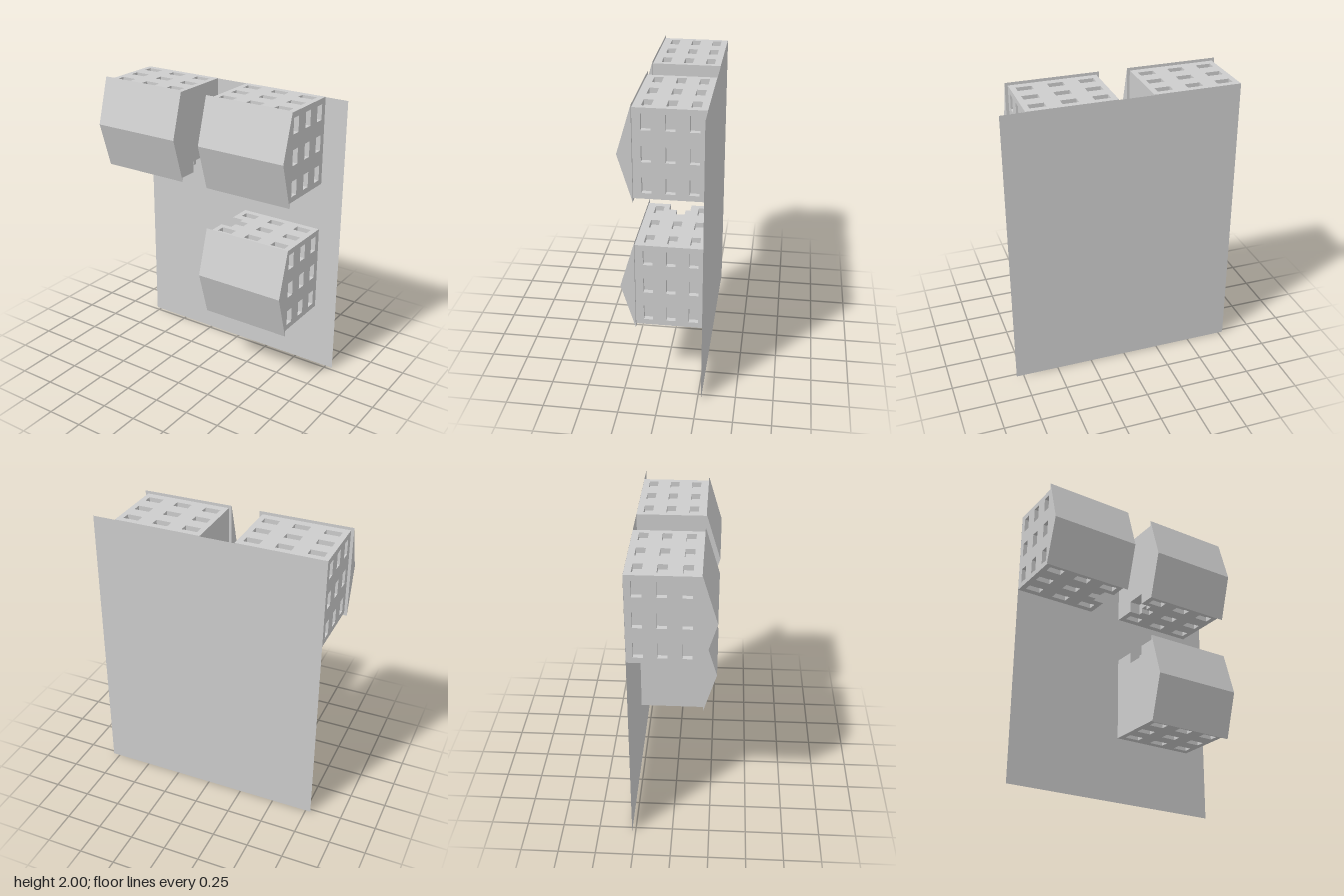
import * as THREE from 'three';

const H = 0.2975;            // half width of a house body
const Z0 = -0.273, Z1 = 0.18; // base and eaves
const D = 0.035;             // window recess depth
const WZ = [-0.2, -0.053, 0.097]; // window rows
const WU = [-0.207, 0, 0.207];    // window columns
const NZ = [-0.115, 0.03], NX = 0.08; // corner notch span and size

const grey = new THREE.MeshStandardMaterial({ color: 0xcccccc });
grey.name = 'plain grey';
const greySheet = new THREE.MeshStandardMaterial({ color: 0xcccccc, side: THREE.DoubleSide });
greySheet.name = 'plain grey sheet';

function add(group, name, geometry, material = grey) {
  const mesh = new THREE.Mesh(geometry, material);
  mesh.name = name;
  group.add(mesh);
  return mesh;
}

function block(group, name, x0, x1, y0, y1, z0, z1) {
  const g = new THREE.BoxGeometry(Math.abs(x1 - x0), Math.abs(y1 - y0), Math.abs(z1 - z0));
  g.translate((x0 + x1) / 2, (y0 + y1) / 2, (z0 + z1) / 2);
  return add(group, name, g);
}

const points = (list) => list.map(([a, b]) => new THREE.Vector2(a, b));
const rect = (u, v, w, h) => points([
  [u - w / 2, v - h / 2], [u + w / 2, v - h / 2], [u + w / 2, v + h / 2], [u - w / 2, v + h / 2]]);

function panel(outline, holes, depth = D) {
  const shape = new THREE.Shape(outline);
  shape.holes = holes.map((h) => new THREE.Path(h));
  return new THREE.ExtrudeGeometry(shape, { depth, bevelEnabled: false });
}

// sx, sy = 1 or -1 mirror the notched corner, which is at -x, -y by default
function house(sx, sy) {
  const g = new THREE.Group();
  g.name = 'house';
  const e = H - D;

  // solid core behind the window panels, with one notched edge
  const box = (x0, x1, y0, y1, z0, z1) =>
    block(g, 'core', x0 * sx, x1 * sx, y0 * sy, y1 * sy, z0, z1);
  box(-H + NX, e, -e, e, Z0, Z1);
  box(-H, -H + NX, -H + NX, e, Z0, Z1);
  box(-H, -H + NX, -e, -H + NX, Z0, NZ[0]);
  box(-H, -H + NX, -e, -H + NX, NZ[1], Z1);

  // windowed wall opposite the notched edge
  const wide = [], notchedHoles = [];
  for (const u of WU) for (const z of WZ) {
    wide.push(rect(u, z, 0.105, 0.06));
    if (u !== WU[0] || z !== WZ[1]) notchedHoles.push(rect(u * sx, z, 0.105, 0.06));
  }
  const plain = panel(points([[-H, Z0], [H, Z0], [H, Z1], [-H, Z1]]), wide);
  plain.rotateX(Math.PI / 2);
  plain.translate(0, sy > 0 ? H : -e, 0);
  add(g, 'windowWall', plain);

  // windowed wall whose corner window opens into the notch
  const n = -H + NX, w = WU[0] + 0.0525, a = WZ[1] - 0.03, b = WZ[1] + 0.03;
  const notched = panel(points([
    [-H, Z0], [H, Z0], [H, Z1], [-H, Z1], [-H, NZ[1]], [n, NZ[1]], [n, b],
    [w, b], [w, a], [n, a], [n, NZ[0]], [-H, NZ[0]]].map(([x, z]) => [x * sx, z])), notchedHoles);
  notched.rotateX(Math.PI / 2);
  notched.translate(0, sy > 0 ? -e : H, 0);
  add(g, 'notchedWindowWall', notched);

  // outer end wall with upright windows
  const tall = [];
  for (const v of WU) for (const z of WZ) tall.push(rect(-z, v, 0.062, 0.105));
  const end = panel(points([[-Z1, -H], [-Z0, -H], [-Z0, H], [-Z1, H]]), tall);
  end.rotateY(Math.PI / 2);
  end.translate(sx > 0 ? e : -H, 0, 0);
  add(g, 'endWall', end);

  // gable roof with a slight overhang
  const R = 0.317;
  const roof = panel(points([[-Z1, -R], [-Z1, R], [-0.275, 0]]), [], 2 * R);
  roof.rotateY(Math.PI / 2);
  roof.translate(-R, 0, 0);
  add(g, 'roof', roof);
  return g;
}

export function createModel() {
  const model = new THREE.Group();
  model.name = 'houses';

  // flat sheet carrying the houses
  const ground = add(model, 'groundSheet', new THREE.PlaneGeometry(1.585, 1.98), greySheet);
  ground.position.set(0.0075, 0.99, -0.274);

  // three houses: x, y, mirror x, mirror y
  for (const [x, y, sx, sy] of [[-0.4875, 1.685, -1, 1], [0.3425, 1.685, 1, 1], [0.3425, 0.758, 1, -1]]) {
    const h = house(sx, sy);
    h.position.set(x, y, 0);
    model.add(h);
  }
  return model;
}
